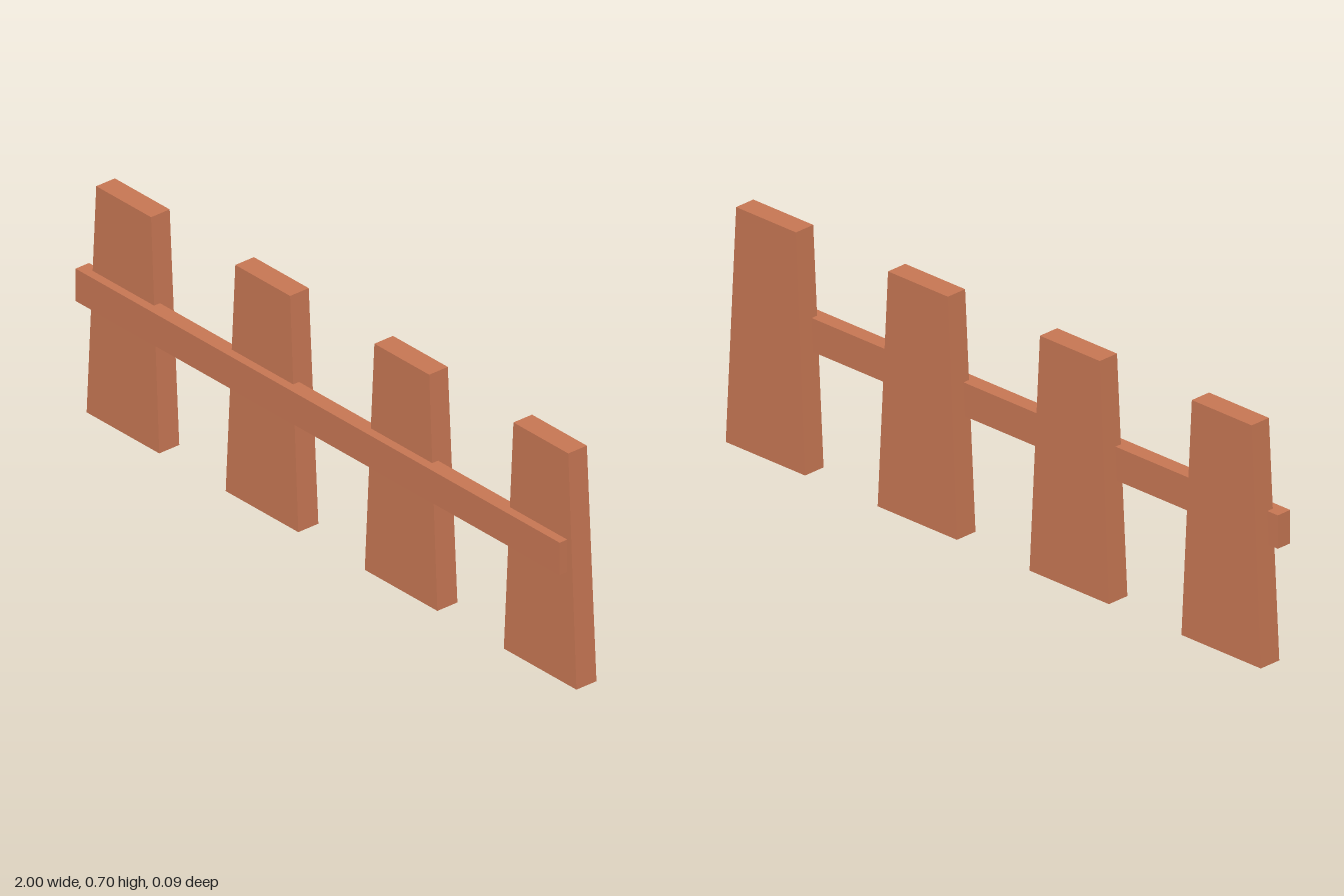
import * as THREE from 'three';

const HEIGHT = 0.7;

// Flat board that narrows towards the top
function taperedBoard() {
  const bottom = { w: 0.294, d: 0.07 };
  const top = { w: 0.222, d: 0.065 };
  const geometry = new THREE.BoxGeometry(1, HEIGHT, 1);
  const p = geometry.attributes.position;
  for (let i = 0; i < p.count; i++) {
    const end = p.getY(i) > 0 ? top : bottom;
    p.setX(i, p.getX(i) * end.w);
    p.setZ(i, p.getZ(i) * end.d);
  }
  geometry.computeVertexNormals();
  return geometry;
}

export function createModel() {
  const model = new THREE.Group();
  model.name = 'fence';
  const wood = new THREE.MeshStandardMaterial({ color: 0xc67653 });
  wood.name = 'wood';

  // Four evenly spaced pickets
  const boardGeometry = taperedBoard();
  for (let i = 0; i < 4; i++) {
    const picket = new THREE.Mesh(boardGeometry, wood);
    picket.name = `picket${i + 1}`;
    picket.position.set(-0.837 + i * 0.563, HEIGHT / 2, -0.012);
    model.add(picket);
  }

  // Cross rail let into the front of the pickets
  const rail = new THREE.Mesh(new THREE.BoxGeometry(1.96, 0.098, 0.047), wood);
  rail.name = 'rail';
  rail.position.set(-0.02, 0.389, 0.0245);
  model.add(rail);

  return model;
}
